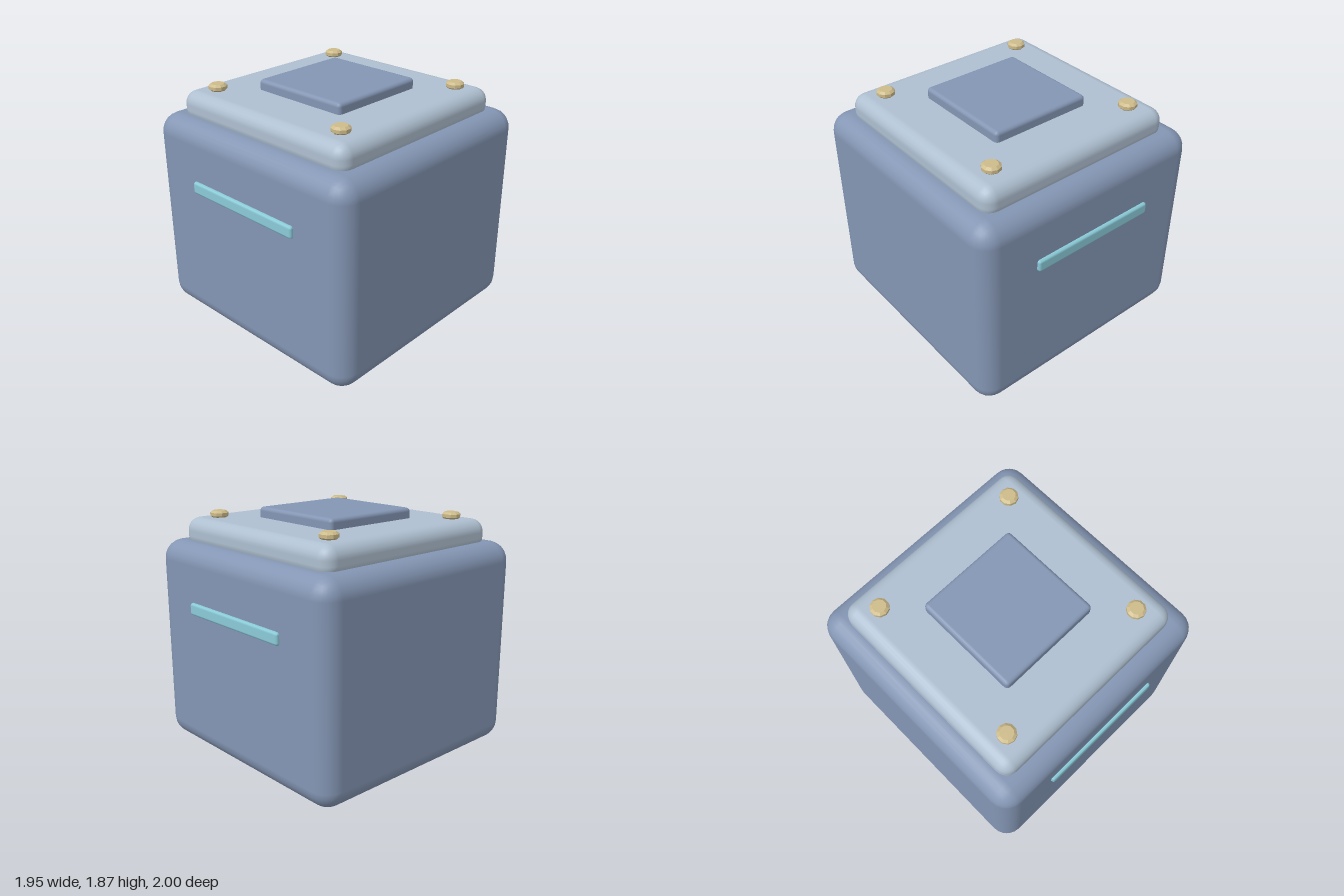
import * as THREE from 'three';
import { RoundedBoxGeometry } from 'three/addons/geometries/RoundedBoxGeometry.js';

const mat = (color) => new THREE.MeshStandardMaterial({ color });

export function createModel() {
  const model = new THREE.Group();
  const blue = mat(0x8496b4), pale = mat(0xaebfd0), cyan = mat(0x8acbd8), brass = mat(0xcdbb8a);

  // Rounded block given by its size, bottom height and depth position
  function block(name, w, h, d, bottom, z, radius, segments, material) {
    const mesh = new THREE.Mesh(new RoundedBoxGeometry(w, h, d, segments, radius), material);
    mesh.name = name;
    mesh.position.set(0, bottom + h / 2, z);
    model.add(mesh);
  }

  block('body', 1.95, 1.62, 1.95, 0, 0, 0.15, 3, blue);
  block('lid', 1.65, 0.24, 1.65, 1.55, 0, 0.1, 3, pale);
  block('topPlate', 0.82, 0.16, 0.82, 1.71, 0, 0.03, 2, blue);

  // Light strips on front and back
  block('frontStrip', 1.04, 0.095, 0.08, 1.1, 0.96, 0.02, 1, cyan);
  block('backStrip', 1.04, 0.095, 0.08, 1.1, -0.96, 0.02, 1, cyan);

  // Chamfered bolts at the lid corners
  const profile = [[0, 0], [0.055, 0], [0.07, 0.013], [0.07, 0.037], [0.05, 0.052], [0, 0.052]]
    .map(([x, y]) => new THREE.Vector2(x, y));
  const boltGeometry = new THREE.LatheGeometry(profile, 10).toNonIndexed();
  boltGeometry.computeVertexNormals();
  for (const x of [-0.625, 0.625]) {
    for (const z of [-0.625, 0.625]) {
      const bolt = new THREE.Mesh(boltGeometry, brass);
      bolt.name = 'bolt';
      bolt.position.set(x, 1.788, z);
      model.add(bolt);
    }
  }
  return model;
}
